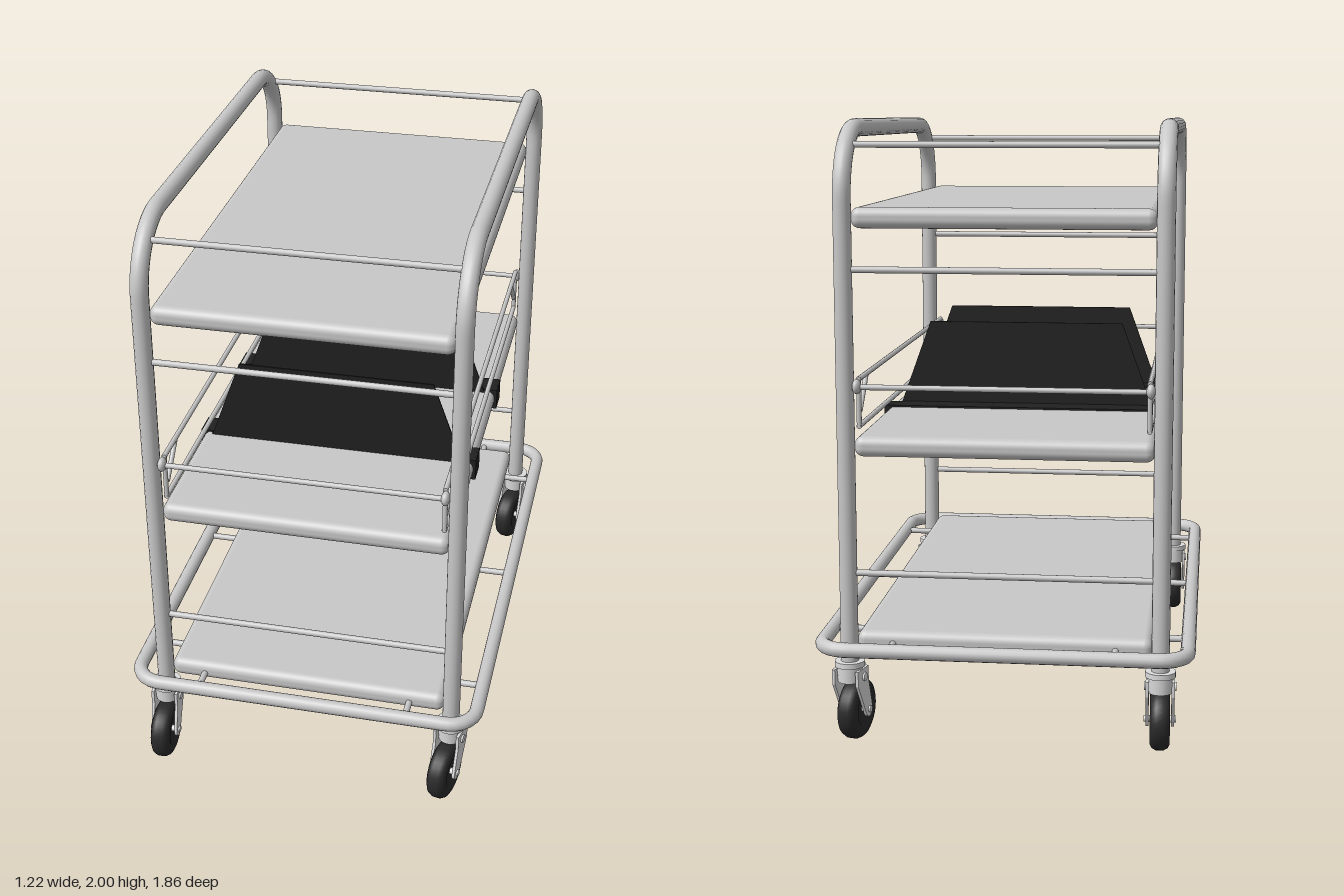
import * as THREE from 'three';
import { RoundedBoxGeometry } from 'three/addons/geometries/RoundedBoxGeometry.js';

const V = (x, y, z) => new THREE.Vector3(x, y, z);

// Path through points with rounded inner corners
function roundedPath(points, radius, closed = false) {
  const path = new THREE.CurvePath();
  const n = points.length;
  let last = points[0];
  for (let i = 1; i < (closed ? n : n - 1); i++) {
    const p = points[i];
    const toPrev = points[i - 1].clone().sub(p).normalize();
    const toNext = points[(i + 1) % n].clone().sub(p).normalize();
    const at = (dir, d) => p.clone().addScaledVector(dir, d);
    const a = at(toPrev, radius), b = at(toNext, radius);
    path.add(new THREE.LineCurve3(last, a));
    path.add(new THREE.CubicBezierCurve3(a, at(toPrev, radius * 0.448), at(toNext, radius * 0.448), b));
    last = b;
  }
  path.add(new THREE.LineCurve3(last, closed ? points[0] : points[n - 1]));
  return path;
}

export function createModel() {
  const model = new THREE.Group();
  model.name = 'shelfTrolley';
  const material = (name, color) => {
    const m = new THREE.MeshStandardMaterial({ color });
    m.name = name;
    return m;
  };
  const steel = material('steel grey', 0xc8c8c8);
  const casterMetal = material('light caster metal', 0xdcdcdc);
  const rubber = material('black rubber', 0x2a2a2a);
  const black = material('black divider', 0x202020);

  const add = (name, geometry, mat, parent = model) => {
    const mesh = new THREE.Mesh(geometry, mat);
    mesh.name = name;
    parent.add(mesh);
    return mesh;
  };
  // Straight round bar between two points
  const rod = (name, a, b, r, mat = steel, parent = model) => {
    const mesh = add(name, new THREE.CylinderGeometry(r, r, a.distanceTo(b), 14), mat, parent);
    mesh.position.copy(a).lerp(b, 0.5);
    mesh.quaternion.setFromUnitVectors(V(0, 1, 0), b.clone().sub(a).normalize());
    return mesh;
  };

  const midZ = -0.015, postZ = 0.8, postX = 0.5;

  // Side hoops: two posts joined by a top handle
  for (const x of [-postX, postX]) {
    const hoop = roundedPath([
      V(x, 0.27, midZ + postZ), V(x, 1.971, midZ + postZ),
      V(x, 1.971, midZ - postZ), V(x, 0.27, midZ - postZ)], 0.215);
    add('sideHoop', new THREE.TubeGeometry(hoop, 180, 0.029, 16), steel);
  }

  // Shelves with rolled edges
  [['bottomShelf', 0.342], ['middleShelf', 0.977], ['topShelf', 1.697]].forEach(([name, y]) => {
    add(name, new RoundedBoxGeometry(0.95, 0.066, 1.62, 4, 0.028), steel).position.set(0, y, midZ);
  });

  // Bumper ring and its short brackets
  const bx = 0.586, bz = 0.89, by = 0.337;
  const ring = roundedPath([
    V(0, by, midZ + bz), V(bx, by, midZ + bz), V(bx, by, midZ - bz),
    V(-bx, by, midZ - bz), V(-bx, by, midZ + bz)], 0.09, true);
  add('bumperRing', new THREE.TubeGeometry(ring, 240, 0.024, 14, true), steel);
  for (const s of [-1, 1]) {
    for (const z of [-0.67, midZ + 0.005, 0.655])
      rod('bumperBracket', V(s * 0.46, by, z), V(s * bx, by, z), 0.011);
    for (const x of [-0.357, 0.357])
      rod('bumperBracket', V(x, by, midZ + s * 0.79), V(x, by, midZ + s * bz), 0.011);
  }

  // Cross rails at both ends, and the swing rail with its end knobs
  for (const s of [-1, 1]) {
    for (const [y, z] of [[1.92, 0.73], [1.537, postZ], [0.567, postZ]])
      rod('endRail', V(-postX, y, midZ + s * z), V(postX, y, midZ + s * z), 0.0105);
    const z = midZ + s * 0.812;
    rod('swingRail', V(-0.46, 1.17, z), V(0.46, 1.17, z), 0.009);
    for (const x of [-0.46, 0.46]) {
      const knob = add('railKnob', new THREE.SphereGeometry(0.024, 14, 10), steel);
      knob.position.set(x, 1.172, z);
      knob.scale.x = 0.6;
    }
  }

  // Side rails above the middle shelf with slanted braces
  for (const x of [-0.457, 0.457]) {
    for (const y of [1.193, 1.043])
      rod('sideRail', V(x, y, midZ - postZ), V(x, y, midZ + postZ), 0.0085);
    for (const s of [-1, 1]) {
      rod('railBrace', V(x, 1.19, midZ + s * 0.68), V(x, 1.09, midZ + s * 0.78), 0.008);
      rod('railStrut', V(x, 1.19, midZ + s * 0.795), V(x, 1.043, midZ + s * 0.795), 0.008);
    }
  }

  // Black dividers: upright plate, foot and clips over the shelf edges
  const plateShape = new THREE.Shape([[-0.44, 1.01], [0.44, 1.01], [0.335, 1.3], [-0.335, 1.3]]
    .map(([x, y]) => new THREE.Vector2(x, y)));
  for (const z of [0.322, -0.17]) {
    const divider = new THREE.Group();
    divider.name = 'shelfDivider';
    divider.position.z = z;
    model.add(divider);
    add('dividerPlate', new THREE.ExtrudeGeometry(plateShape, { depth: 0.006, bevelEnabled: false }),
      black, divider).position.z = -0.003;
    add('dividerFoot', new THREE.BoxGeometry(0.96, 0.006, 0.085), black, divider)
      .position.set(0, 1.013, -0.053);
    add('dividerFootEdge', new THREE.BoxGeometry(0.88, 0.006, 0.02), black, divider)
      .position.set(0, 1.013, -0.008);
    for (const s of [-1, 1])
      add('dividerClip', new THREE.BoxGeometry(0.025, 0.075, 0.085), black, divider)
        .position.set(s * 0.472, 0.978, -0.053);
  }

  // Caster parts, local origin on the floor below the post
  const trail = 0.045, hubY = 0.1;
  const tyre = new THREE.LatheGeometry([
    [0, -0.022], [0.05, -0.022], [0.058, -0.032], [0.08, -0.032], [0.092, -0.026], [0.1, -0.012],
    [0.1, 0.012], [0.092, 0.026], [0.08, 0.032], [0.058, 0.032], [0.05, 0.022], [0, 0.022],
  ].map(([r, y]) => new THREE.Vector2(r, y)), 36).rotateZ(Math.PI / 2);
  const leg = new THREE.Shape();
  leg.moveTo(-0.04, 0.25);
  leg.lineTo(-0.038, 0.2);
  leg.lineTo(trail - 0.024, 0.092);
  leg.absarc(trail, hubY, 0.024, Math.PI * 1.1, Math.PI * 2.1, false);
  leg.lineTo(0.042, 0.2);
  leg.lineTo(0.042, 0.25);
  const legGeometry = new THREE.ExtrudeGeometry(leg, { depth: 0.01, bevelEnabled: false })
    .rotateY(-Math.PI / 2);

  const buildCaster = (x, z, turn) => {
    const caster = new THREE.Group();
    caster.name = 'caster';
    caster.position.set(x, 0, z);
    caster.rotation.y = turn;
    model.add(caster);
    add('wheel', tyre, rubber, caster).position.set(0, hubY, trail);
    add('swivelPlate', new THREE.CylinderGeometry(0.049, 0.049, 0.018, 24), casterMetal, caster)
      .position.y = 0.267;
    add('swivelHousing', new THREE.CylinderGeometry(0.043, 0.04, 0.055, 24), casterMetal, caster)
      .position.y = 0.234;
    for (const s of [-1, 1]) {
      add('forkLeg', legGeometry, casterMetal, caster).position.x = s * 0.041 + 0.005;
      rod('forkBolt', V(s * 0.04, 0.222, 0.008), V(s * 0.052, 0.222, 0.008), 0.014, casterMetal, caster);
    }
    rod('axle', V(-0.052, hubY, trail), V(0.052, hubY, trail), 0.011, casterMetal, caster);
  };
  for (const s of [-1, 1]) {
    buildCaster(-postX, midZ + s * postZ, 0.03);
    buildCaster(postX, midZ + s * postZ, -0.22);
  }

  return model;
}
